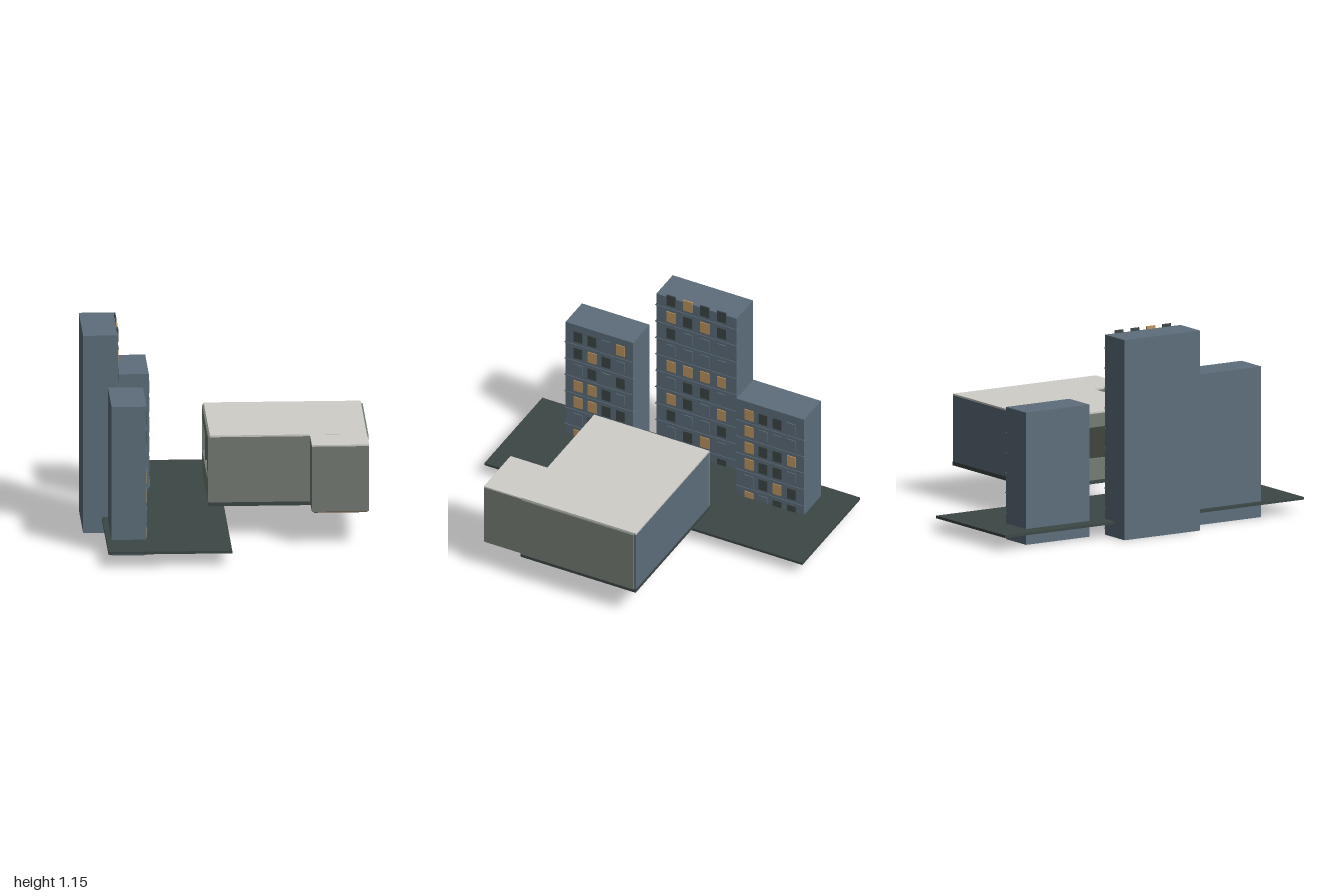
import * as THREE from 'three';

const mat = (name, color) => {
  const m = new THREE.MeshStandardMaterial({ color });
  m.name = name;
  return m;
};

export function createModel() {
  const facade = mat('blue grey', 0x5d6e7b);
  const wall = mat('sage wall', 0x747c72);
  const ceiling = mat('pale ceiling', 0xcfcec9);
  const slate = mat('dark slate', 0x3c4745);
  const lit = mat('lit window', 0xc0955f);
  const wood = mat('brown floor', 0x5a4230);
  const model = new THREE.Group();
  model.name = 'apartmentAndSkyline';

  // Box given by its limits on each axis
  const box = (parent, name, material, [x0, x1], [y0, y1], [z0, z1]) => {
    const mesh = new THREE.Mesh(new THREE.BoxGeometry(x1 - x0, y1 - y0, z1 - z0), material);
    mesh.position.set((x0 + x1) / 2, (y0 + y1) / 2, (z0 + z1) / 2);
    mesh.name = name;
    parent.add(mesh);
  };

  // Street slab
  box(model, 'street', slate, [-0.69, 0], [0.075, 0.09], [-1, 1]);

  // Towers: window rows run from the bottom up, columns from +z to -z
  // L = lit, D = dark, B = blue
  const towers = [
    { name: 'tallTower', x: [-0.795, -0.6], z: [-0.27, 0.235], h: 1.135, w: 0.056,
      rows: ['DLDD', 'BDLB', 'DBBD', 'LDBL', 'BDDB', 'LLLL', 'BBBB', 'DBBB', 'LDLD', 'DLDD'] },
    { name: 'frontTower', x: [-0.66, -0.465], z: [0.31, 0.735], h: 0.855, w: 0.054,
      rows: ['LDLD', 'BDLB', 'LLDD', 'LLDB', 'BDBD', 'DLDB', 'DDBL'] },
    { name: 'rearTower', x: [-0.6, -0.4], z: [-0.8, -0.375], h: 0.75, w: 0.054,
      rows: ['LBDD', 'BDLD', 'LDDB', 'LDDL', 'LBBB', 'LDDB'] },
  ];
  const glass = { L: lit, D: slate, B: facade };
  for (const t of towers) {
    const group = new THREE.Group();
    group.name = t.name;
    model.add(group);
    box(group, 'towerBody', facade, t.x, [0, t.h], t.z);
    const face = t.x[1];
    const mid = (t.z[0] + t.z[1]) / 2;
    const pitch = (t.z[1] - t.z[0]) * 0.21;
    t.rows.forEach((row, i) => {
      const y = 0.095 + i * 0.1135;
      box(group, 'floorLedge', facade, [face - 0.01, face + 0.004], [y - 0.06, y - 0.055], [t.z[0] - 0.005, t.z[1] + 0.005]);
      [...row].forEach((kind, j) => {
        const z = mid + (1.5 - j) * pitch;
        box(group, 'window', glass[kind], [face - 0.003, face + 0.005], [y - 0.035, y + 0.035], [z - t.w / 2, z + t.w / 2]);
      });
    });
  }

  // Main room: floor, ceiling and walls around a hollow interior
  const room = new THREE.Group();
  room.name = 'room';
  model.add(room);
  const wy = [0.2, 0.575];
  box(room, 'floor', slate, [-0.1, 0.785], [0.178, 0.2], [-0.365, 0.36]);
  box(room, 'ceiling', ceiling, [-0.095, 0.78], [0.575, 0.585], [-0.365, 0.36]);
  box(room, 'blueWall', facade, [-0.085, 0.78], wy, [-0.365, -0.35]);
  box(room, 'endWall', wall, [0.775, 0.79], wy, [-0.352, 0.352]);
  box(room, 'frontWall', wall, [-0.085, 0.465], wy, [0.345, 0.36]);

  // Window wall towards the towers
  const wx = [-0.105, -0.083];
  box(room, 'windowSill', wall, wx, [0.2, 0.32], [-0.362, 0.358]);
  box(room, 'windowLintel', wall, wx, [0.5, 0.575], [-0.362, 0.358]);
  for (const z of [-0.347, 0.343])
    box(room, 'windowPost', wall, wx, [0.32, 0.5], [z - 0.015, z + 0.015]);
  for (const z of [-0.12, 0.116])
    box(room, 'windowMullion', slate, [-0.1, -0.088], [0.32, 0.5], [z - 0.006, z + 0.006]);

  // Entry annex, open to the main room
  const entry = new THREE.Group();
  entry.name = 'entryAnnex';
  model.add(entry);
  box(entry, 'entryFloor', wood, [0.475, 0.77], [0.193, 0.203], [0.36, 0.585]);
  box(entry, 'entryCeiling', ceiling, [0.463, 0.782], [0.575, 0.584], [0.36, 0.592]);
  box(entry, 'entryFrontWall', wall, [0.463, 0.782], wy, [0.58, 0.592]);
  box(entry, 'entryInnerWall', wall, [0.463, 0.475], wy, [0.345, 0.58]);
  box(entry, 'entryOuterWall', wall, [0.77, 0.782], wy, [0.352, 0.58]);

  return model;
}
